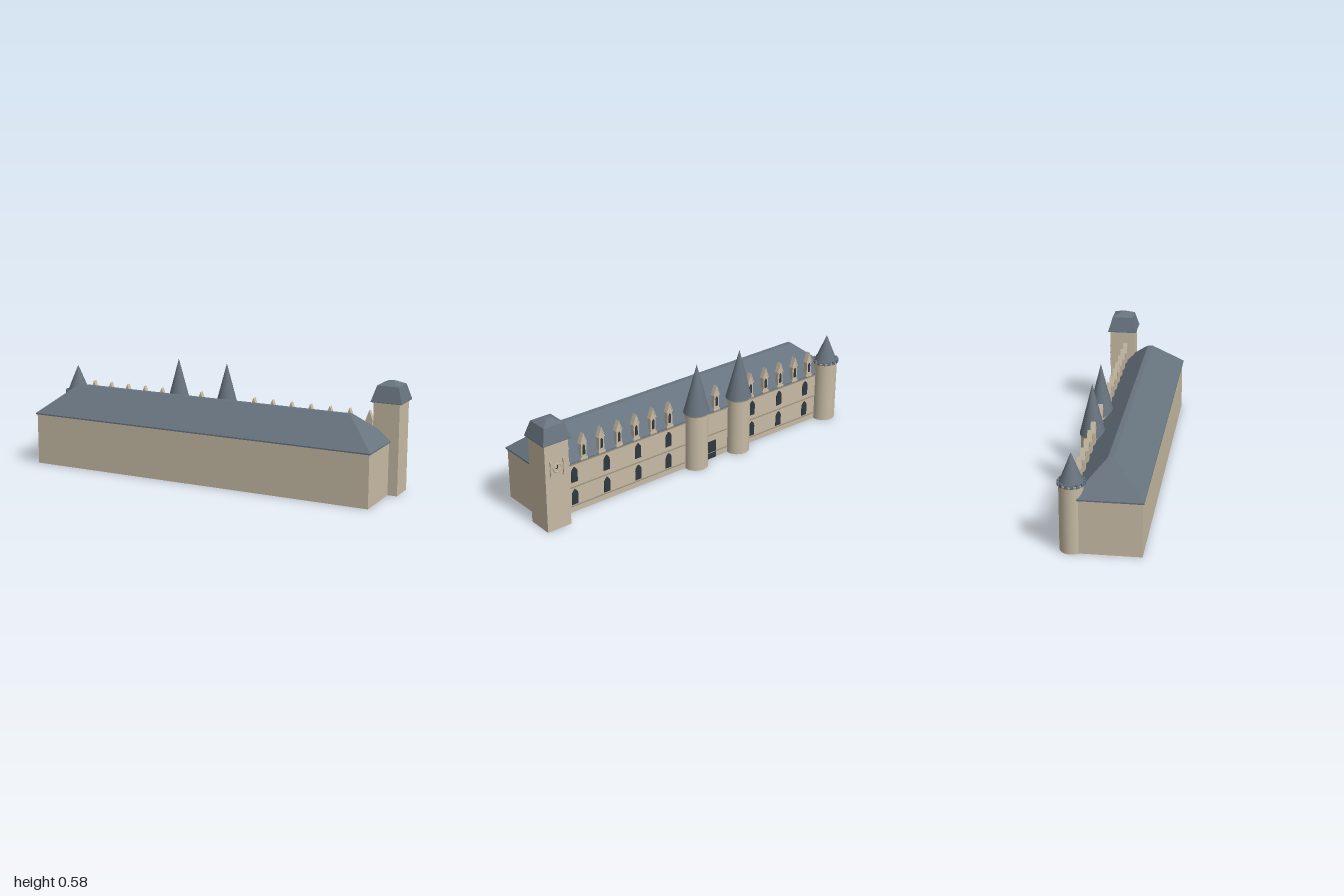
import * as THREE from 'three';

const mat = (color) => new THREE.MeshStandardMaterial({ color });
const stone = mat(0xc6baa4), slate = mat(0x67737e), dark = mat(0x2f383f);
const trim = mat(0x9a907d);
const wallStone = mat(0xc6baa4); // walls open at the bottom, seen from both sides
wallStone.side = THREE.DoubleSide;

const WALL = -0.122; // plane of the richly built rear facade

// Stack of rectangles [y, x0, x1, z0, z1] joined into one flat-shaded solid or open shell
function loft(levels, closed = true) {
  const rings = levels.map(([y, x0, x1, z0, z1]) => [[x0, y, z1], [x1, y, z1], [x1, y, z0], [x0, y, z0]]);
  const pos = [];
  const quad = (a, b, c, d) => pos.push(...a, ...b, ...c, ...a, ...c, ...d);
  for (let k = 0; k < rings.length - 1; k++) {
    for (let i = 0; i < 4; i++) {
      const j = (i + 1) % 4;
      quad(rings[k][i], rings[k][j], rings[k + 1][j], rings[k + 1][i]);
    }
  }
  if (closed) {
    quad(...rings[rings.length - 1]);
    quad(...[...rings[0]].reverse());
  }
  const g = new THREE.BufferGeometry();
  g.setAttribute('position', new THREE.Float32BufferAttribute(pos, 3));
  g.computeVertexNormals();
  return g;
}

// Upright outline with a pointed head, extruded in depth
function pointed(w, h, shoulder, depth, curved) {
  const s = new THREE.Shape();
  s.moveTo(-w / 2, 0);
  s.lineTo(w / 2, 0);
  s.lineTo(w / 2, shoulder);
  if (curved) {
    s.quadraticCurveTo(w / 2, (shoulder + h) / 2, 0, h);
    s.quadraticCurveTo(-w / 2, (shoulder + h) / 2, -w / 2, shoulder);
  } else {
    s.lineTo(0, h);
    s.lineTo(-w / 2, shoulder);
  }
  return new THREE.ExtrudeGeometry(s, { depth, bevelEnabled: false, curveSegments: 4 });
}

export function createModel() {
  const model = new THREE.Group();
  const castle = new THREE.Group();
  castle.name = 'castle';
  castle.rotation.y = -0.36;
  model.add(castle);

  const add = (name, geo, material, x = 0, y = 0, z = 0, parent = castle) => {
    const m = new THREE.Mesh(geo, material);
    m.name = name;
    m.position.set(x, y, z);
    parent.add(m);
    return m;
  };
  const box = (name, w, h, d, material, x, y, z, parent) =>
    add(name, new THREE.BoxGeometry(w, h, d), material, x, y, z, parent);

  // Main range with eaves and hipped roof
  add('mainWalls', loft([[0, -0.985, 0.925, WALL, 0.203], [0.272, -0.985, 0.925, WALL, 0.203]], false), wallStone);
  add('mainRoof', loft([
    [0.272, -0.992, 0.932, WALL - 0.008, 0.21],
    [0.279, -0.992, 0.932, WALL - 0.008, 0.21],
    [0.422, -0.82, 0.762, 0.02, 0.047],
  ]), slate);

  // String courses and cornice of the rear facade
  for (const [y, h] of [[0.035, 0.004], [0.14, 0.004], [0.268, 0.01]]) {
    box('stringCourse', 1.9, h, 0.01, trim, -0.03, y, WALL - 0.001);
  }

  // Two rows of lancet windows
  const windowGeo = pointed(0.038, 0.085, 0.055, 0.006, true);
  for (const x of [0.755, 0.56, 0.364, 0.167, -0.405, -0.6, -0.795]) {
    for (const y of [0.042, 0.165]) add('window', windowGeo, dark, x, y, WALL - 0.002);
  }

  // Gabled dormers along the rear eaves
  const dormerGeo = pointed(0.032, 0.135, 0.09, 0.022, false);
  const capGeo = new THREE.ExtrudeGeometry(new THREE.Shape([
    [-0.021, 0.085], [-0.016, 0.085], [0, 0.128], [0.016, 0.085], [0.021, 0.085], [0, 0.14],
  ].map(([x, y]) => new THREE.Vector2(x, y))), { depth: 0.025, bevelEnabled: false });
  const dormerWindowGeo = pointed(0.015, 0.055, 0.04, 0.004, true);
  const dormerXs = [-0.15];
  for (let i = 0; i < 7; i++) dormerXs.push(0.162 + i * 0.107);
  for (let i = 0; i < 5; i++) dormerXs.push(-0.388 - i * 0.107);
  for (const x of dormerXs) {
    const d = new THREE.Group();
    d.name = 'dormer';
    d.position.set(x, 0.276, WALL - 0.005);
    castle.add(d);
    add('dormerBody', dormerGeo, stone, 0, 0, 0, d);
    add('dormerGable', capGeo, stone, 0, 0, -0.0015, d);
    add('dormerWindow', dormerWindowGeo, dark, 0, 0.025, -0.002, d);
    box('dormerSill', 0.042, 0.01, 0.012, stone, 0, 0.004, 0.002, d);
  }

  // Round towers with conical roofs, slightly wider along the facade
  function roundTower(name, x, top, apex, coneR) {
    const t = new THREE.Group();
    t.name = name;
    t.position.set(x, 0, -0.134);
    t.scale.x = 1.08;
    castle.add(t);
    add('towerShaft', new THREE.CylinderGeometry(0.06, 0.06, top, 24), stone, 0, top / 2, 0, t);
    add('towerCornice', new THREE.CylinderGeometry(0.064, 0.06, 0.01, 24), stone, 0, top - 0.004, 0, t);
    add('towerRoof', new THREE.ConeGeometry(coneR, apex - top, 20), slate, 0, (top + apex) / 2, 0, t);
    return t;
  }
  roundTower('gateTowerLeft', -0.008, 0.315, 0.58, 0.066);
  roundTower('gateTowerRight', -0.296, 0.315, 0.58, 0.066);
  const corner = roundTower('cornerTower', -0.936, 0.34, 0.49, 0.059);

  // Parapet blocks around the corner tower
  for (let i = 0; i < 14; i++) {
    const a = (i / 14) * Math.PI * 2;
    const b = box('parapetBlock', 0.014, 0.018, 0.01, slate,
      Math.sin(a) * 0.062, 0.343, Math.cos(a) * 0.062, corner);
    b.rotation.y = a;
  }

  // Gate between the twin towers
  box('gateDoor', 0.07, 0.1, 0.008, dark, -0.115, 0.05, WALL - 0.001);

  // Square clock tower with a two-stage roof
  const tower = new THREE.Group();
  tower.name = 'clockTower';
  tower.position.set(0.907, 0, -0.138);
  castle.add(tower);
  const sq = (y, h) => [y, -h, h, -h, h];
  add('clockTowerShaft', loft([sq(0, 0.068), sq(0.472, 0.068)]), stone, 0, 0, 0, tower);
  add('clockTowerRoof', loft([sq(0.47, 0.08), sq(0.474, 0.08), sq(0.552, 0.057), sq(0.572, 0.014)]), slate, 0, 0, 0, tower);

  // Clock face framed by two slim pilasters
  add('clockRim', new THREE.TorusGeometry(0.022, 0.004, 6, 20), stone, 0, 0.333, -0.069, tower);
  const face = add('clockFace', new THREE.CylinderGeometry(0.021, 0.021, 0.006, 20), stone, 0, 0.333, -0.068, tower);
  face.rotation.x = Math.PI / 2;
  box('clockHand', 0.003, 0.016, 0.003, dark, 0, 0.34, -0.072, tower);
  box('clockHand', 0.012, 0.003, 0.003, dark, 0.005, 0.333, -0.072, tower);
  for (const s of [-1, 1]) {
    box('clockPilaster', 0.008, 0.08, 0.01, stone, s * 0.037, 0.333, -0.069, tower);
    for (const y of [0.292, 0.333, 0.374]) box('pilasterBand', 0.014, 0.008, 0.013, stone, s * 0.037, y, -0.069, tower);
  }

  return model;
}
